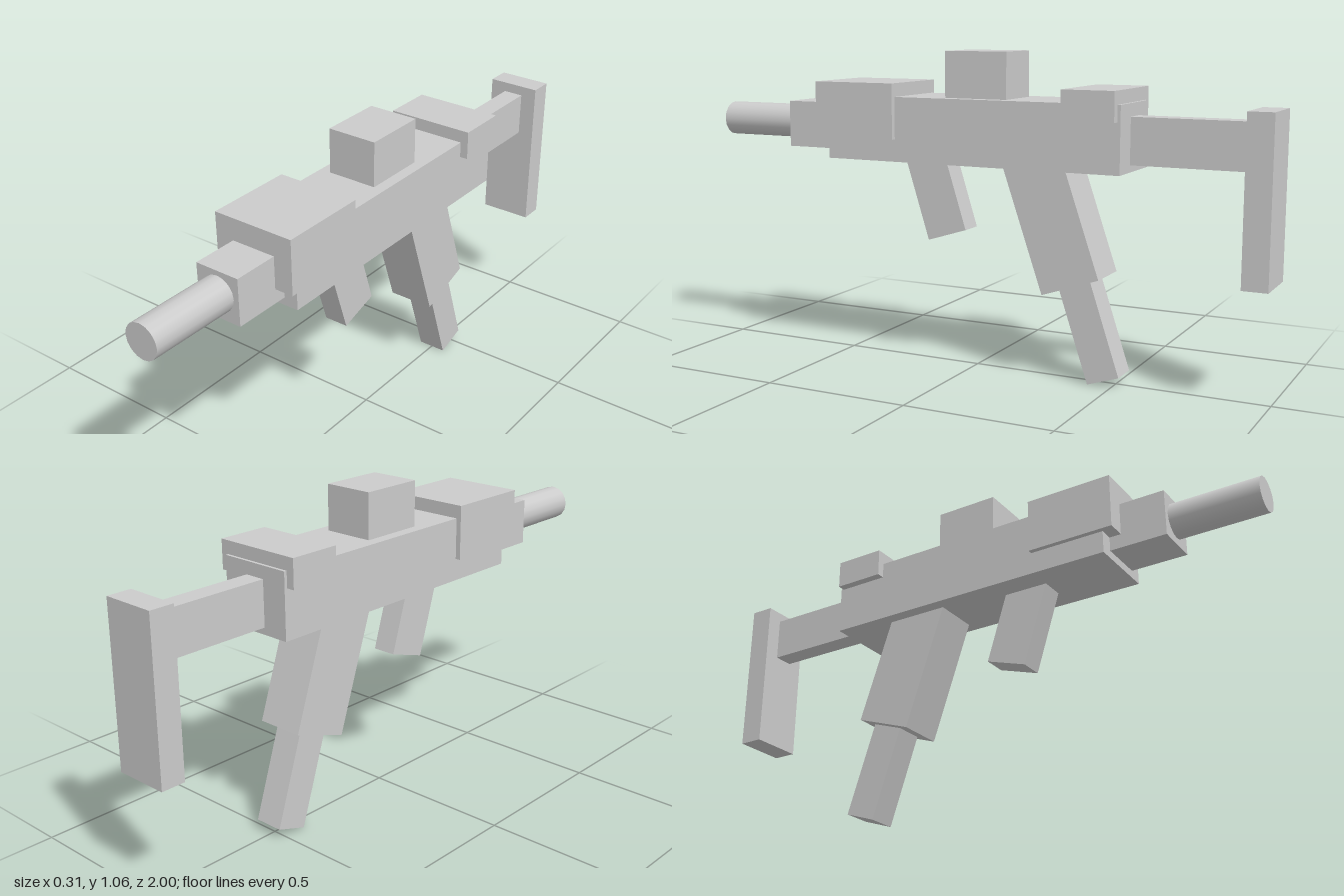
import * as THREE from 'three';

export function createModel() {
  const model = new THREE.Group();
  const material = new THREE.MeshStandardMaterial({ color: 0xcccccc });

  const add = (name, geometry, x, y, z) => {
    const mesh = new THREE.Mesh(geometry, material);
    mesh.name = name;
    mesh.position.set(x, y, z);
    model.add(mesh);
    return mesh;
  };

  // Upright box centred on x, given its width and its y and z ranges
  const block = (name, width, y0, y1, z0, z1) =>
    add(name, new THREE.BoxGeometry(width, y1 - y0, z1 - z0), 0, (y0 + y1) / 2, (z0 + z1) / 2);

  // Box rising from the centre of its lower end and leaning forward
  const leaning = (name, width, depth, length, y, z, degrees) => {
    const geometry = new THREE.BoxGeometry(width, length, depth).translate(0, length / 2, 0);
    add(name, geometry, 0, y, z).rotation.x = THREE.MathUtils.degToRad(degrees);
  };

  // Body and the blocks around it
  block('receiver', 0.25, 0.695, 0.91, -0.545, 0.505);
  block('frontShroud', 0.285, 0.77, 0.955, 0.245, 0.545);
  block('rearCover', 0.305, 0.857, 0.953, -0.535, -0.36);
  block('sight', 0.173, 0.88, 1.062, -0.145, 0.075);
  block('barrelCollar', 0.155, 0.722, 0.88, 0.4, 0.7);

  // Barrel
  add('barrel', new THREE.CylinderGeometry(0.059, 0.059, 0.4, 16).rotateX(Math.PI / 2), 0, 0.805, 0.8);

  // Shoulder stock
  block('stockArm', 0.07, 0.718, 0.868, -0.93, -0.5);
  block('stockPlate', 0.184, 0.372, 0.902, -1, -0.918);

  // Handles and magazine below the body
  leaning('foreGrip', 0.083, 0.147, 0.32, 0.447, 0.095, 17.5);
  leaning('grip', 0.162, 0.205, 0.47, 0.321, -0.368, 19);
  leaning('magazine', 0.1, 0.112, 0.4, 0.02, -0.473, 18.5);

  return model;
}
